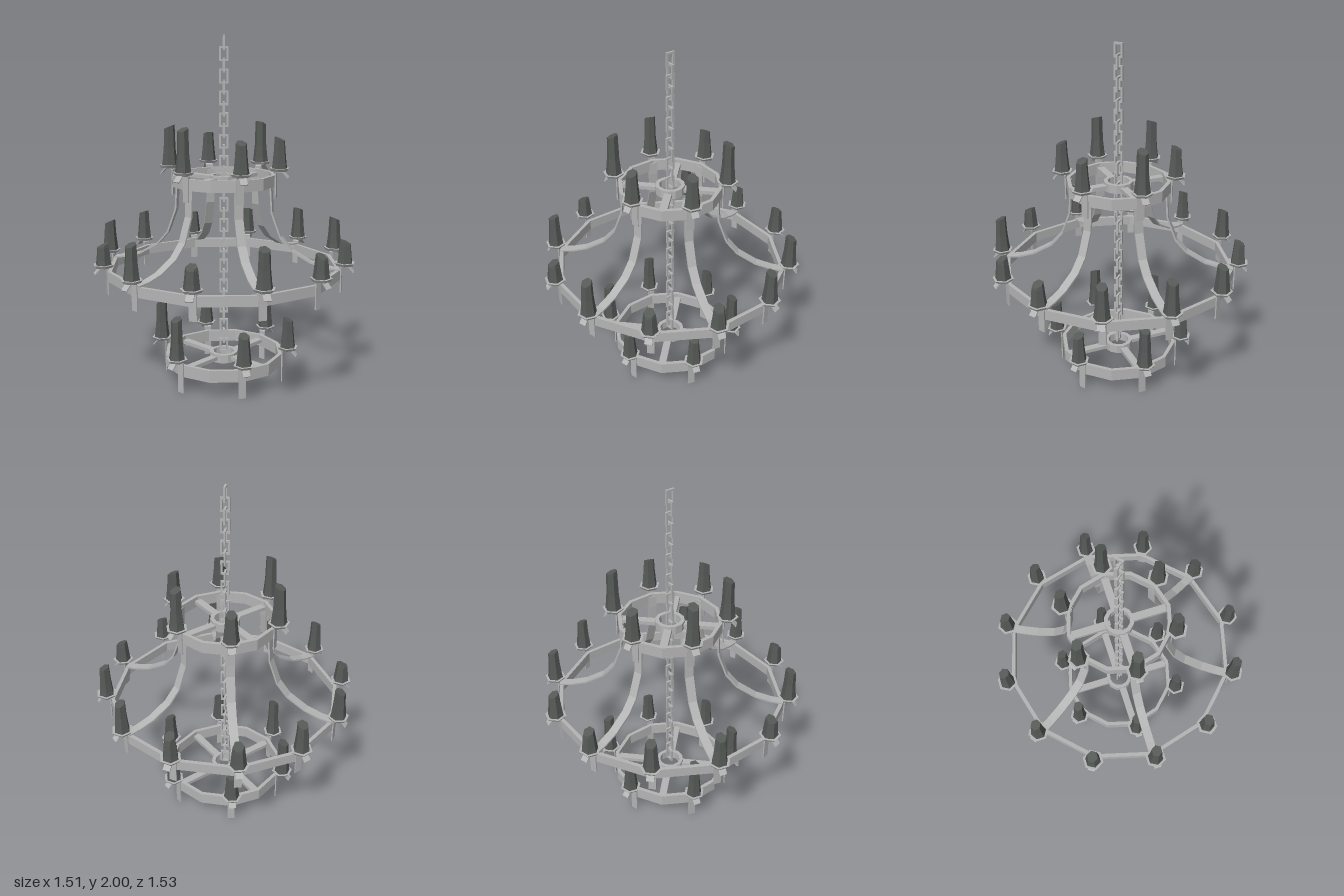
import * as THREE from 'three';

const metal = new THREE.MeshStandardMaterial({ color: 0xb4b4b4 });
metal.name = 'forged metal';
const wax = new THREE.MeshStandardMaterial({ color: 0x565a57 });
wax.name = 'dark wax';

// Faceted normals for the low-poly look
function faceted(geo) {
  const g = geo.index ? geo.toNonIndexed() : geo;
  g.computeVertexNormals();
  return g;
}

function add(parent, name, geo, mat = metal) {
  const mesh = new THREE.Mesh(geo, mat);
  mesh.name = name;
  parent.add(mesh);
  return mesh;
}

// Flat metal strap following a polyline in the local xy plane, centred on z
function strap(points, width, thick) {
  const p = points.map(([x, y]) => new THREE.Vector2(x, y));
  const sideA = [], sideB = [];
  p.forEach((v, i) => {
    const d = p[Math.min(i + 1, p.length - 1)].clone().sub(p[Math.max(i - 1, 0)]).normalize();
    const n = new THREE.Vector2(-d.y, d.x).multiplyScalar(thick / 2);
    sideA.push(v.clone().add(n));
    sideB.unshift(v.clone().sub(n));
  });
  const geo = new THREE.ExtrudeGeometry(new THREE.Shape([...sideA, ...sideB]), { depth: width, bevelEnabled: false });
  return geo.translate(0, 0, -width / 2);
}

// Polygonal band lying flat, from y0 up to y1
function band(outer, inner, sides, y0, y1) {
  const ngon = (r) => Array.from({ length: sides }, (_, i) => {
    const a = (i / sides) * Math.PI * 2;
    return new THREE.Vector2(r * Math.cos(a), r * Math.sin(a));
  });
  const shape = new THREE.Shape(ngon(outer));
  shape.holes.push(new THREE.Path(ngon(inner)));
  const geo = new THREE.ExtrudeGeometry(shape, { depth: y1 - y0, bevelEnabled: false });
  return geo.rotateX(-Math.PI / 2).translate(0, y0, 0);
}

// Six-sided candle with a flared foot and a slanted top, higher on the inner side
function candleGeometry(h, turn) {
  const profile = [[0.047, 0], [0.042, 0.03], [0.035, 0.1], [0.031, h], [0, h]];
  const geo = new THREE.LatheGeometry(profile.map(([x, y]) => new THREE.Vector2(x, y)), 6);
  geo.rotateY(turn);
  const pos = geo.attributes.position;
  for (let i = 0; i < pos.count; i++) {
    if (pos.getY(i) > h - 0.001) pos.setY(i, h - 0.013 - 0.42 * pos.getX(i));
  }
  return faceted(geo);
}

// Candle, hexagonal dish and the bracket that hooks it to a ring
function candleHolder(tier, deg, height) {
  const { r, rc, dishY, strapY } = tier;
  const g = new THREE.Group();
  g.name = 'candleHolder';
  const turn = deg % 180 === 90 ? Math.PI / 6 : 0;
  const dish = add(g, 'dish', faceted(new THREE.CylinderGeometry(0.062, 0.05, 0.016, 6)));
  dish.position.set(rc, dishY + 0.008, 0);
  dish.rotation.y = turn;
  const candle = add(g, 'candle', candleGeometry(height, turn), wax);
  candle.position.set(rc, dishY + 0.014, 0);
  add(g, 'bracket', strap([
    [r + 0.003, strapY], [r + 0.003, dishY - 0.012], [r + 0.012, dishY - 0.002],
    [rc + 0.022, dishY - 0.002], [rc + 0.052, dishY - 0.036],
  ], 0.042, 0.007));
  g.rotation.y = -THREE.MathUtils.degToRad(deg);
  return g;
}

const six = { 30: 0.18, 90: 0.245, 150: 0.235, 210: 0.175, 270: 0.245, 330: 0.18 };
const twelve = {
  0: 0.135, 30: 0.215, 60: 0.13, 90: 0.2, 120: 0.125, 150: 0.185,
  180: 0.18, 210: 0.14, 240: 0.16, 270: 0.195, 300: 0.195, 330: 0.135,
};
const tiers = [
  { name: 'lowerTier', r: 0.352, rc: 0.385, y0: 0.095, y1: 0.165, dishY: 0.197, strapY: 0, candles: six, spokes: true },
  { name: 'middleTier', r: 0.68, rc: 0.702, y0: 0.638, y1: 0.696, dishY: 0.725, strapY: 0.565, candles: twelve },
  { name: 'upperTier', r: 0.3, rc: 0.322, y0: 1.16, y1: 1.225, dishY: 1.25, strapY: 1.095, candles: six, spokes: true },
];

export function createModel() {
  const model = new THREE.Group();
  model.name = 'chandelier';

  for (const t of tiers) {
    const tier = new THREE.Group();
    tier.name = t.name;
    model.add(tier);
    add(tier, 'ring', band(t.r, t.r - 0.022, 12, t.y0, t.y1));
    for (const [deg, h] of Object.entries(t.candles)) tier.add(candleHolder(t, Number(deg), h));
    if (!t.spokes) continue;
    // Hub and four spokes
    const mid = (t.y0 + t.y1) / 2;
    add(tier, 'hub', band(0.085, 0.062, 12, mid - 0.025, mid + 0.025));
    const length = t.r - 0.015 - 0.075;
    for (let i = 0; i < 4; i++) {
      const geo = new THREE.BoxGeometry(length, 0.022, 0.044).translate(0.075 + length / 2, mid, 0);
      add(tier, 'spoke', geo).rotation.y = (i * Math.PI) / 2;
    }
  }

  // Curved straps joining the upper and middle rings
  const armGeo = strap([
    [0.276, 1.21], [0.276, 1.14], [0.284, 1.01], [0.335, 0.87],
    [0.4, 0.795], [0.51, 0.732], [0.6, 0.707], [0.672, 0.698],
  ], 0.05, 0.01);
  for (let i = 0; i < 6; i++) {
    add(model, 'arm', armGeo).rotation.y = Math.PI / 6 + (i * Math.PI) / 3;
  }

  // Chain of flat rectangular links, alternately turned
  const w = 0.026, l = 0.041, bar = 0.011;
  const rect = (a, b) => [[-a, -b], [a, -b], [a, b], [-a, b]].map(([x, y]) => new THREE.Vector2(x, y));
  const linkShape = new THREE.Shape(rect(w, l));
  linkShape.holes.push(new THREE.Path(rect(w - bar, l - bar)));
  const linkGeo = new THREE.ExtrudeGeometry(linkShape, { depth: 0.012, bevelEnabled: false }).translate(0, 0, -0.006);
  const links = 30, bottom = 0.15 + l, top = 2 - l;
  for (let i = 0; i < links; i++) {
    const link = add(model, 'chainLink', linkGeo);
    link.position.y = bottom + ((top - bottom) * i) / (links - 1);
    link.rotation.y = Math.PI / 4 + (i % 2) * (Math.PI / 2);
  }
  return model;
}
